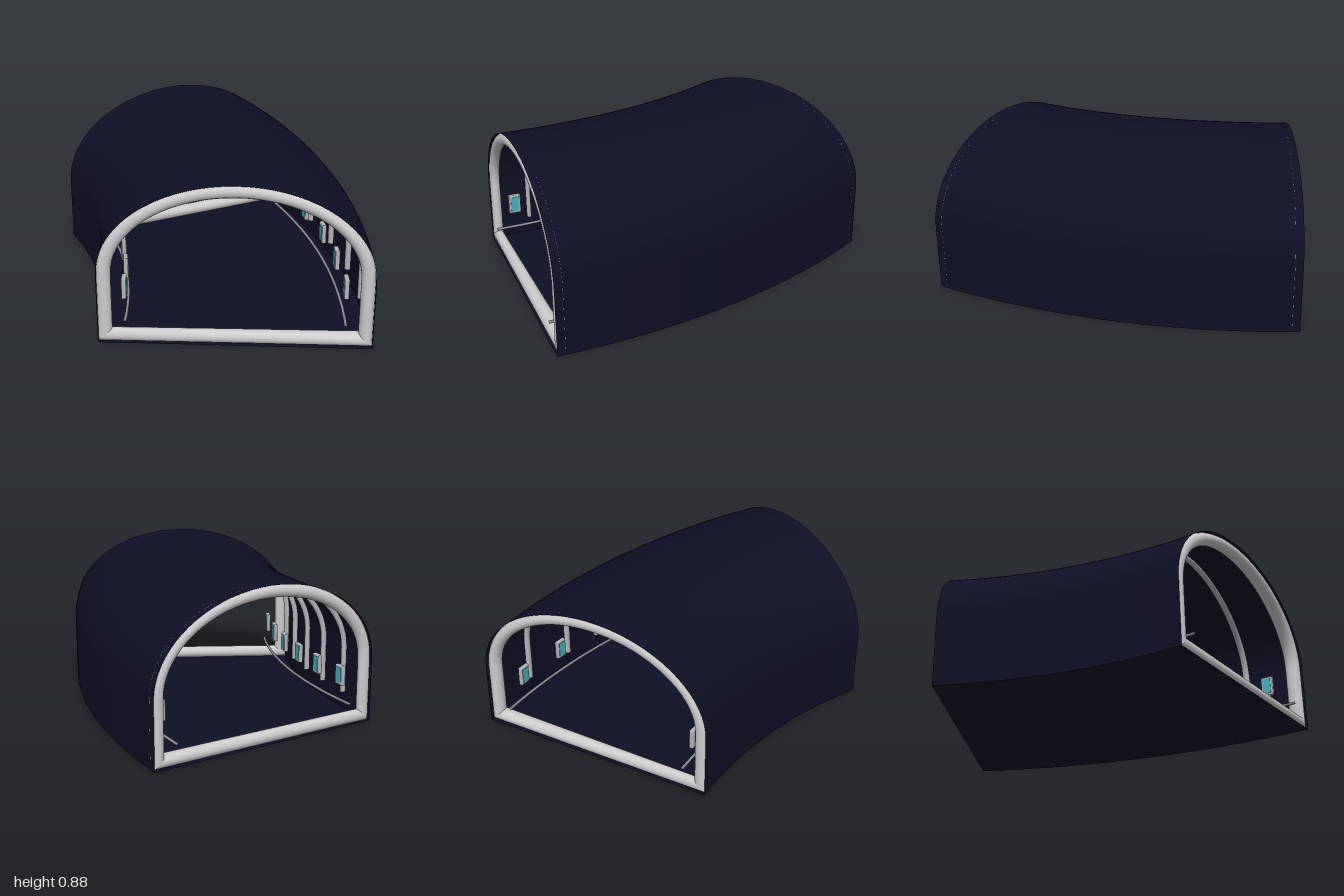
import * as THREE from 'three';
import { ParametricGeometry } from 'three/addons/geometries/ParametricGeometry.js';
import { RoundedBoxGeometry } from 'three/addons/geometries/RoundedBoxGeometry.js';

const BEND_X = -3.13;          // bend axis, at z = 1
const BEND_R = 3.3;            // radius of the tunnel's centre line
const SWEEP = Math.PI / 6;     // total turn
const HALF = 0.7, SPRING = 0.375, RISE = 0.5;
const TAU = Math.PI * 2;

// Point at sideways offset o and height y, after turning by angle a
function place(o, y, a, target) {
  const r = BEND_R + o;
  return target.set(BEND_X + r * Math.cos(a), y, 1 - r * Math.sin(a));
}

// Arch outline: right wall, half ellipse, left wall
function arch(t, inset, bottom) {
  const w = HALF - inset;
  if (t < 0.2) return [w, bottom + (SPRING - bottom) * t / 0.2];
  if (t > 0.8) return [-w, SPRING + (bottom - SPRING) * (t - 0.8) / 0.2];
  const p = (t - 0.2) / 0.6 * Math.PI;
  return [w * Math.cos(p), SPRING + (RISE - inset) * Math.sin(p)];
}

// Bottom edge, left to right
function sill(t, inset) {
  return [(HALF - inset) * (2 * t - 1), inset];
}

// Surface swept along the bend from an outline
function sweptSurface(outline, slices) {
  return new ParametricGeometry((u, v, target) => {
    const [o, y] = outline(u);
    place(o, y, (1 - v) * SWEEP, target);
  }, slices, 40);
}

// Round tube following an outline at one angle
function hoop(outline, slices, angle, inset, radius) {
  return new ParametricGeometry((u, v, target) => {
    const p = v * TAU;
    const [o, y] = outline(u, inset - radius * Math.cos(p));
    place(o, y, angle - Math.sin(p) * radius / BEND_R, target);
  }, slices, 16);
}

// Thin round rail running along the bend
function railGeometry(offset, height, radius) {
  return new ParametricGeometry((u, v, target) => {
    const p = v * TAU;
    place(offset + radius * Math.cos(p), height - radius * Math.sin(p), (1 - u) * SWEEP, target);
  }, 40, 8);
}

export function createModel() {
  const group = new THREE.Group();
  const material = (name, color, side = THREE.FrontSide) => {
    const m = new THREE.MeshStandardMaterial({ color, side });
    m.name = name;
    return m;
  };
  const navy = material('navy', 0x0f0f26, THREE.DoubleSide);
  const paleGrey = material('paleGrey', 0xcccccf);
  const grey = material('grey', 0xb4b4ba);
  const railGrey = material('railGrey', 0x8c8c96);
  const cyan = material('cyan', 0x48b4be);

  const add = (name, geometry, mat, parent = group) => {
    const mesh = new THREE.Mesh(geometry, mat);
    mesh.name = name;
    parent.add(mesh);
    return mesh;
  };

  // Tunnel skin and floor
  add('tunnelShell', sweptSurface(t => arch(t, 0, 0), 60), navy);
  add('tunnelFloor', sweptSurface(t => sill(t, 0), 4), navy);

  // Round frames at both openings, mitred at the bottom corners
  const rim = 0.0365;
  const ends = [['front', rim / BEND_R], ['back', SWEEP - rim / BEND_R]];
  for (const [end, angle] of ends) {
    add(end + 'RimArch', hoop((t, d) => arch(t, d, d), 60, angle, rim, rim), paleGrey);
    add(end + 'RimSill', hoop(sill, 4, angle, rim, rim), paleGrey);
  }

  // Ribs lining the inside
  for (let i = 1; i < 6; i++) {
    add('rib' + i, hoop((t, d) => arch(t, d, 0.11), 60, SWEEP * i / 6, 0.025, 0.017), grey);
  }

  // Side rails and wall panels
  for (const side of [1, -1]) {
    const label = side > 0 ? 'left' : 'right';
    add(label + 'Rail', railGeometry(side * 0.56, 0.12, 0.008), railGrey);

    for (let i = 0; i < 6; i++) {
      const angle = SWEEP * (i + 0.5) / 6;
      const panel = new THREE.Group();
      panel.name = label + 'WallPanel' + (i + 1);
      place(side * 0.57, 0.263, angle, panel.position);
      panel.rotation.y = angle;
      add('panelFrame', new RoundedBoxGeometry(0.025, 0.115, 0.07, 2, 0.006), grey, panel);
      const screen = add('panelScreen', new THREE.BoxGeometry(0.006, 0.09, 0.048), cyan, panel);
      screen.position.x = -side * 0.0125;
      group.add(panel);
    }
  }
  return group;
}
